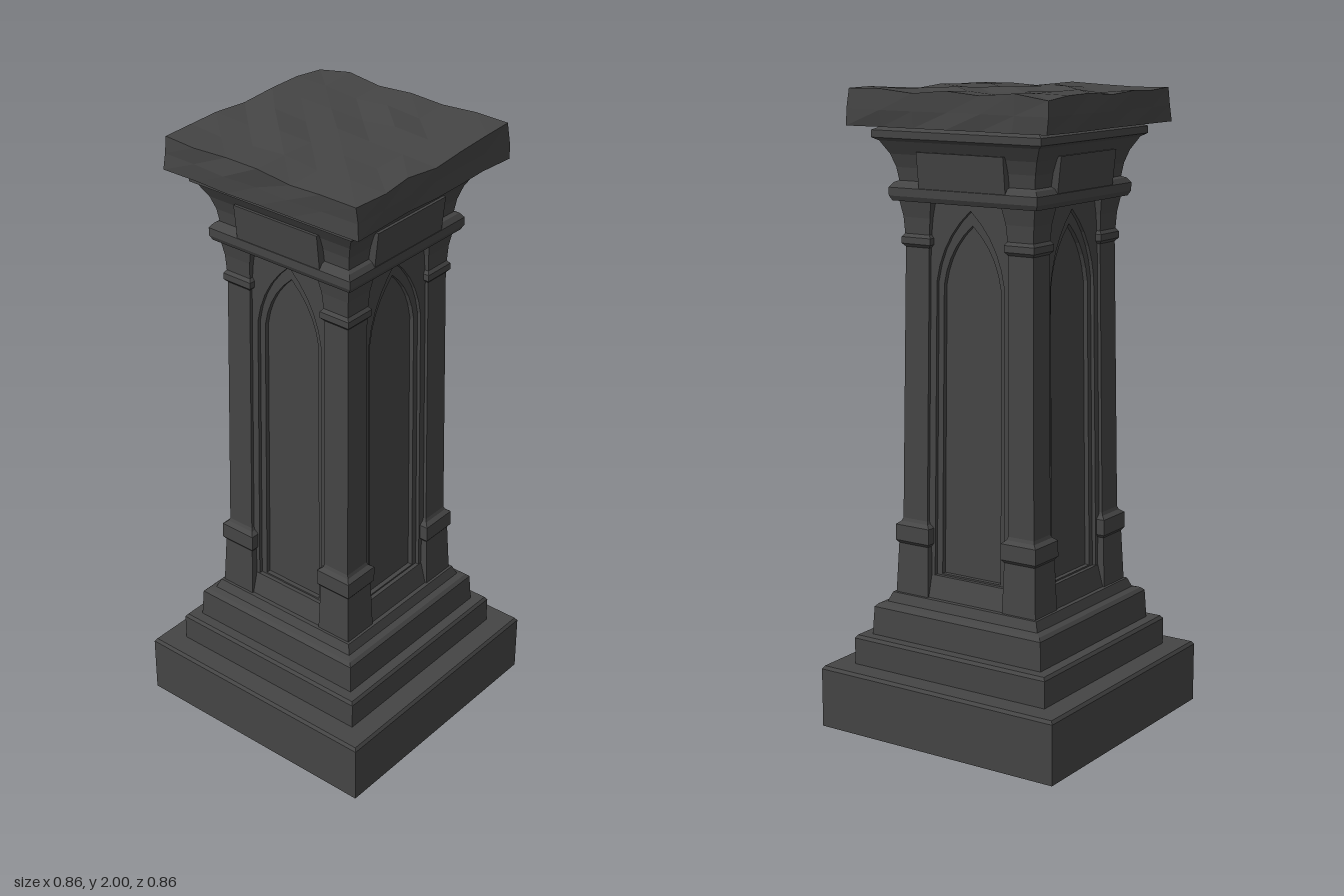
import * as THREE from 'three';

export function createModel() {
  const group = new THREE.Group();
  const stone = new THREE.MeshStandardMaterial({ color: 0x454545, side: THREE.DoubleSide });
  stone.name = 'dark stone';

  const add = (name, geometry) => {
    const flat = geometry.index ? geometry.toNonIndexed() : geometry;
    flat.computeVertexNormals();
    const mesh = new THREE.Mesh(flat, stone);
    mesh.name = name;
    group.add(mesh);
  };

  // Move every vertex by a rule
  const warp = (geometry, rule) => {
    const p = geometry.attributes.position;
    const v = new THREE.Vector3();
    for (let i = 0; i < p.count; i++) {
      rule(v.fromBufferAttribute(p, i));
      p.setXYZ(i, v.x, v.y, v.z);
    }
    return geometry;
  };

  // Square tower section from [half width, height] pairs
  const square = (profile) => new THREE.LatheGeometry(
    profile.map(([h, y]) => new THREE.Vector2(h * Math.SQRT2, y)), 4, Math.PI / 4);

  // The shaft narrows slightly towards the top
  const taper = (geometry) => warp(geometry, (v) => {
    const s = 1 - 0.06 * (v.y - 0.65);
    v.x *= s;
    v.z *= s;
  });

  // Repeatable chipped-edge offset
  const chip = (x, y, z) => {
    const n = Math.sin(Math.round(x * 100) * 12.9 + Math.round(y * 100) * 78.2 + Math.round(z * 100) * 37.7) * 437.5;
    return n - Math.floor(n) - 0.5;
  };

  // Hollow stepped base, open underneath
  add('steppedBase', square([
    [0.43, 0], [0.43, 0.19], [0.423, 0.2], [0.355, 0.2], [0.355, 0.285], [0.348, 0.295],
    [0.315, 0.295], [0.31, 0.385], [0.3, 0.395], [0.28, 0.4], [0.268, 0.43], [0.2, 0.435],
  ]));

  // Recessed shaft core
  add('shaftCore', taper(square([[0.205, 0.42], [0.205, 1.68]])));

  // Corner piers with plinth, band and small capital
  const pierProfile = [
    [0.06, 0.42], [0.055, 0.59], [0.063, 0.6], [0.063, 0.65], [0.05, 0.66], [0.046, 0.67],
    [0.046, 1.52], [0.056, 1.53], [0.056, 1.55], [0.048, 1.56], [0.052, 1.61], [0.062, 1.66],
  ];
  for (const sx of [-1, 1]) for (const sz of [-1, 1]) {
    add('cornerPier', taper(square(pierProfile).translate(sx * 0.197, 0, sz * 0.197)));
  }

  // Pointed-arch outline
  const arch = (Type, w, bottom, spring, apex) => {
    const s = new Type();
    s.moveTo(-w, bottom);
    s.lineTo(w, bottom);
    s.lineTo(w, spring);
    s.quadraticCurveTo(w * 0.85, spring + (apex - spring) * 0.6, 0, apex);
    s.quadraticCurveTo(-w * 0.85, spring + (apex - spring) * 0.6, -w, spring);
    s.closePath();
    return s;
  };

  for (let i = 0; i < 4; i++) {
    const turn = i * Math.PI / 2;

    // Wall around the lancet niche
    const wall = new THREE.Shape();
    wall.moveTo(-0.155, 0.43);
    wall.lineTo(0.155, 0.43);
    wall.lineTo(0.155, 1.67);
    wall.lineTo(-0.155, 1.67);
    wall.closePath();
    wall.holes.push(arch(THREE.Path, 0.128, 0.48, 1.42, 1.64));
    add('nicheWall', taper(new THREE.ExtrudeGeometry(wall, { depth: 0.04, bevelEnabled: false, curveSegments: 5 })
      .translate(0, 0, 0.192).rotateY(turn)));

    // Inner moulding of the niche
    const moulding = arch(THREE.Shape, 0.13, 0.475, 1.42, 1.645);
    moulding.holes.push(arch(THREE.Path, 0.108, 0.505, 1.41, 1.595));
    add('nicheMoulding', taper(new THREE.ExtrudeGeometry(moulding, { depth: 0.025, bevelEnabled: false, curveSegments: 5 })
      .translate(0, 0, 0.195).rotateY(turn)));

    // Sloping sill below the niche
    const sill = warp(new THREE.BoxGeometry(0.29, 0.07, 0.06).translate(0, 0.465, 0.225), (v) => {
      if (v.z > 0.23 && v.y > 0.48) v.z -= 0.02;
    });
    add('nicheSill', sill.rotateY(turn));

    // Raised block in the middle of the capital
    const block = warp(new THREE.BoxGeometry(0.31, 0.11, 0.05).translate(0, 1.755, 0.24), (v) => {
      if (v.y > 1.76) v.z += 0.012;
    });
    add('capitalBlock', block.rotateY(turn));
  }

  // Capital with neck ring, cove and upper lip
  add('capital', square([
    [0.2, 1.655], [0.258, 1.66], [0.266, 1.675], [0.266, 1.7], [0.255, 1.715], [0.243, 1.72],
    [0.249, 1.76], [0.262, 1.8], [0.285, 1.84], [0.302, 1.85], [0.302, 1.872], [0.285, 1.88], [0.285, 1.9],
  ]));

  // Worn top slab with chipped edges
  add('topSlab', warp(new THREE.BoxGeometry(0.69, 0.1, 0.71, 6, 2, 6).translate(0, 1.935, 0), (v) => {
    const { x, y, z } = v;
    const edge = Math.max(Math.abs(x) / 0.345, Math.abs(z) / 0.355);
    if (y > 1.97) v.y += 0.004 + chip(x, y, z) * 0.02;
    if (edge > 0.99) {
      v.x += chip(z, y, x) * 0.012;
      v.z += chip(y, x, z) * 0.012;
    }
  }));

  return group;
}
